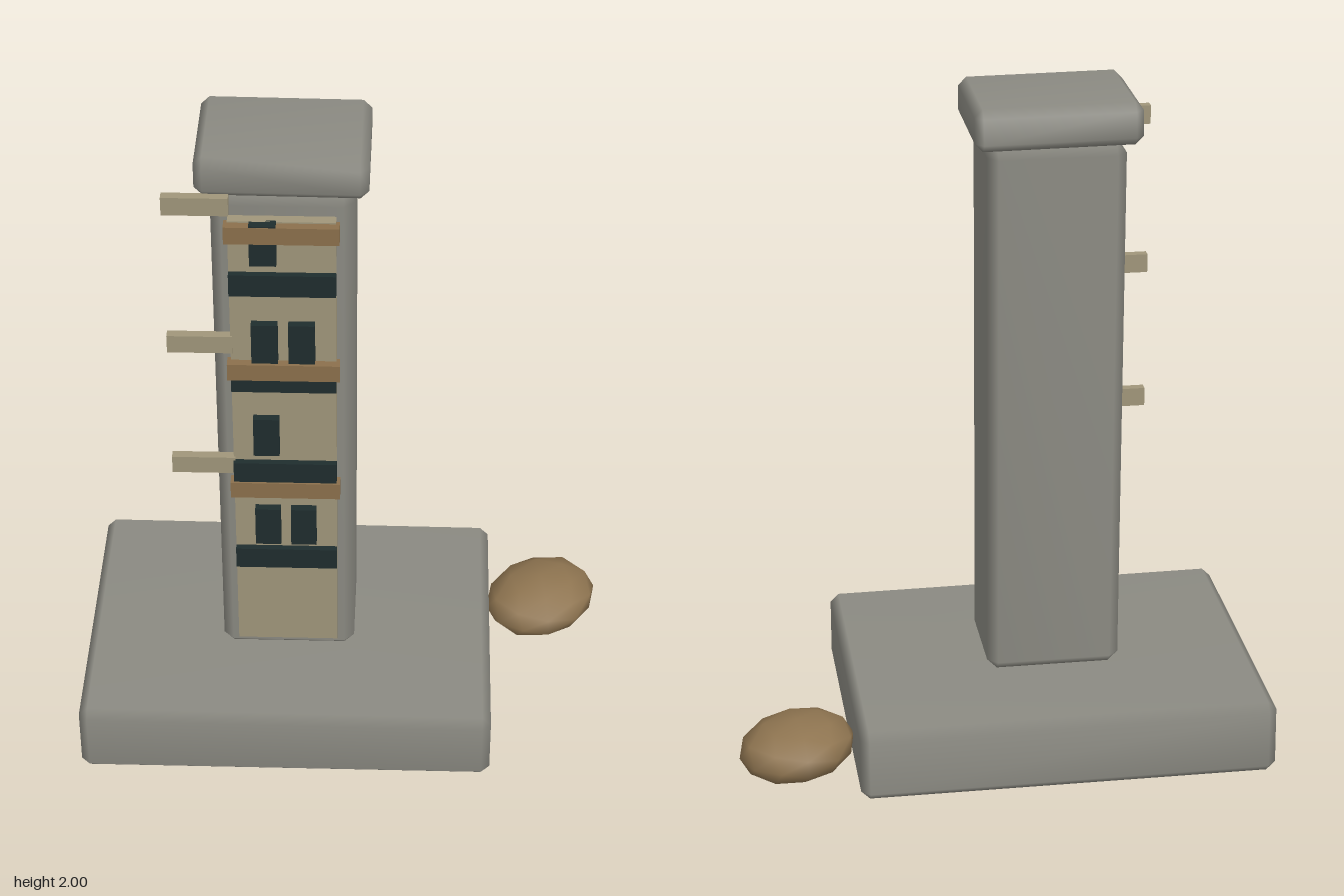
import * as THREE from 'three';
import { ConvexGeometry } from 'three/addons/geometries/ConvexGeometry.js';
import { mergeVertices } from 'three/addons/utils/BufferGeometryUtils.js';

const material = (name, color) => {
  const m = new THREE.MeshStandardMaterial({ color });
  m.name = name;
  return m;
};

// Shared vertices give the worn, softly shaded edges
function smooth(geometry) {
  geometry.deleteAttribute('normal');
  geometry.deleteAttribute('uv');
  const merged = mergeVertices(geometry, 1e-4);
  merged.computeVertexNormals();
  return merged;
}

// Chamfered stone block between two corners; warp nudges points out of square
function block([x0, y0, z0], [x1, y1, z1], bevel, warp = () => {}) {
  const points = [];
  for (const x of [0, 1]) for (const y of [0, 1]) for (const z of [0, 1]) {
    for (let axis = 0; axis < 3; axis++) {
      const inset = [0, 1, 2].map((i) => (i === axis ? 0 : bevel));
      const p = new THREE.Vector3(
        x ? x1 - inset[0] : x0 + inset[0],
        y ? y1 - inset[1] : y0 + inset[1],
        z ? z1 - inset[2] : z0 + inset[2]
      );
      warp(p);
      points.push(p);
    }
  }
  return smooth(new ConvexGeometry(points));
}

export function createModel() {
  const group = new THREE.Group();
  const stone = material('stone grey', 0x8b8a82);
  const plaster = material('plaster beige', 0xa0967a);
  const wood = material('wood brown', 0x8b704c);
  const dark = material('dark slate', 0x1f2d2e);
  const earth = material('earth brown', 0x8e7450);

  const add = (name, geometry, mat) => {
    const mesh = new THREE.Mesh(geometry, mat);
    mesh.name = name;
    group.add(mesh);
    return mesh;
  };
  const box = (name, mat, x0, x1, y0, y1, z0, z1) =>
    add(name, new THREE.BoxGeometry(x1 - x0, y1 - y0, z1 - z0), mat)
      .position.set((x0 + x1) / 2, (y0 + y1) / 2, (z0 + z1) / 2);

  // Slightly uneven stonework
  add('base', block([-0.79, 0.005, -0.485], [0.45, 0.226, 0.488], 0.026, (p) => {
    if (p.y > 0.1) {
      p.y += -0.006 * p.x + 0.008 * p.z;
      if (p.z < 0) p.z += 0.01;
    }
  }), stone);
  add('tower', block([-0.37, 0.235, -0.16], [0.03, 1.87, 0.165], 0.03), stone);
  add('cap', block([-0.41, 1.875, -0.195], [0.07, 1.995, 0.195], 0.024, (p) => {
    p.y += -0.01 * (p.x + 0.17) + 0.012 * p.z;
    if (p.z < 0 && p.y > 1.94) p.z += 0.012;
  }), stone);

  // Facade on the front of the tower
  box('facadePanel', plaster, -0.32, -0.02, 0.3, 1.81, 0.16, 0.197);
  for (const y of [0.595, 0.917, 1.245, 1.575])
    box('darkBand', dark, -0.32, -0.02, y, y + 0.07, 0.186, 0.217);
  for (const y of [0.865, 1.29, 1.752])
    box('ledge', wood, -0.33, -0.01, y, y + 0.054, 0.185, 0.223);

  // Windows, alternating pairs and singles
  [[0.69, 2], [1.02, 1], [1.35, 2], [1.68, 1]].forEach(([y, count]) => {
    for (let i = 0; i < count; i++) {
      const x = -0.26 + i * 0.105;
      box('window', dark, x, x + 0.075, y, y + 0.13, 0.19, 0.222);
    }
  });

  // Projecting side brackets
  for (const y of [0.94, 1.37, 1.83])
    box('sideBracket', plaster, -0.5, -0.315, y, y + 0.056, 0.175, 0.203);

  // Boulder beside the base
  const boulder = add('boulder', smooth(new THREE.IcosahedronGeometry(1, 1)), earth);
  boulder.scale.set(0.192, 0.088, 0.158);
  boulder.rotation.y = Math.PI / 4;
  boulder.position.set(0.62, 0.092, -0.265);

  return group;
}
